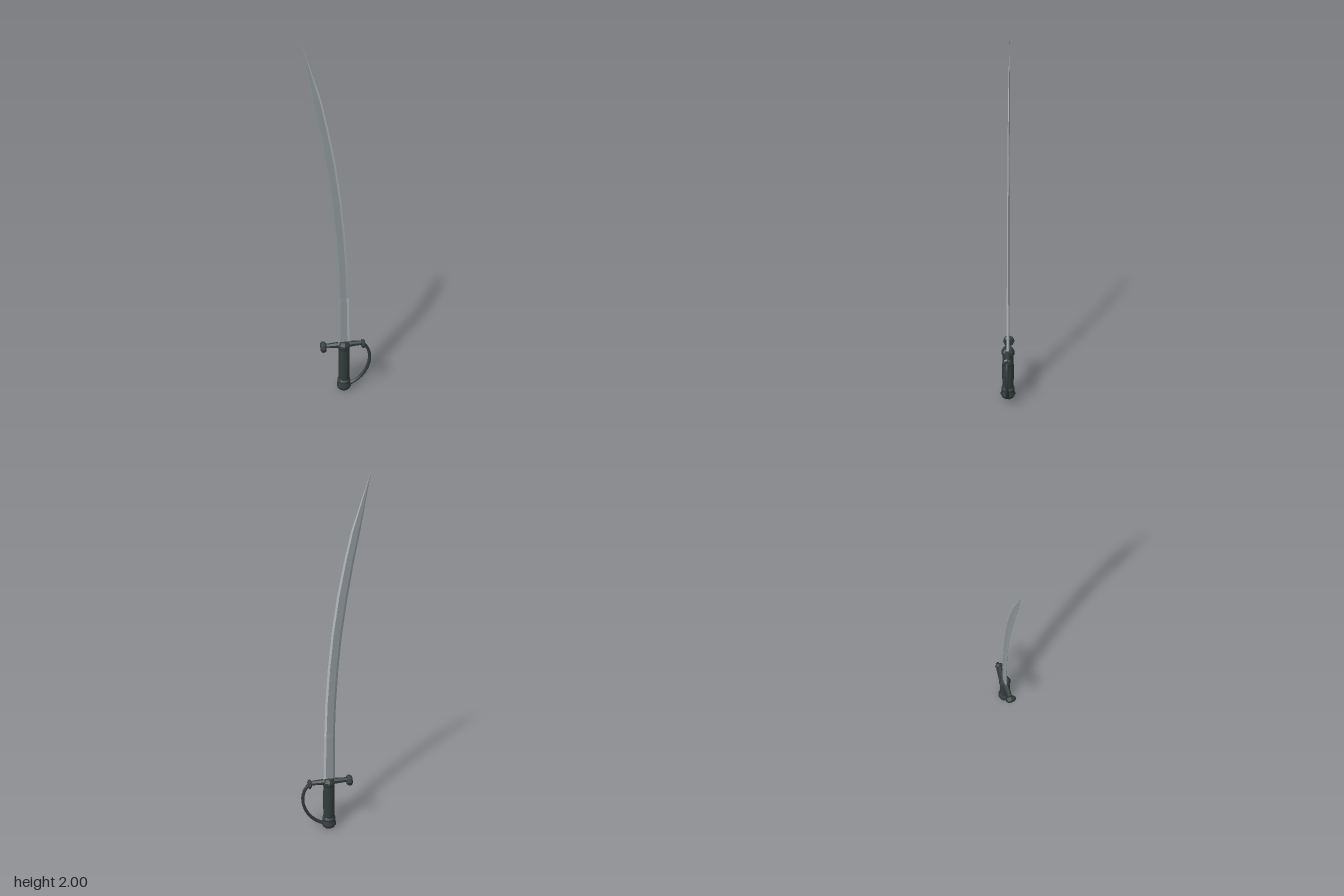
import * as THREE from 'three';

// Give every face its own normal, for faceted parts.
function facet(geometry) {
  const geo = geometry.index ? geometry.toNonIndexed() : geometry;
  geo.computeVertexNormals();
  return geo;
}

// Faceted skin over the chosen sides of closed rings; rings run counter-clockwise seen from above.
function loft(rings, sides) {
  const n = rings[0].length, pos = [];
  const tri = (a, b, c) => pos.push(...a, ...b, ...c);
  for (let i = 0; i < rings.length - 1; i++) {
    for (const j of sides) {
      const k = (j + 1) % n, lo = rings[i], hi = rings[i + 1];
      tri(lo[j], lo[k], hi[k]);
      tri(lo[j], hi[k], hi[j]);
    }
  }
  const geo = new THREE.BufferGeometry();
  geo.setAttribute('position', new THREE.Float32BufferAttribute(pos, 3));
  return facet(geo);
}

const turned = (points, sides) => new THREE.LatheGeometry(
  points.map(([r, y]) => new THREE.Vector2(r, y)), sides);

export function createModel() {
  const steel = new THREE.MeshStandardMaterial({ color: 0x8e9699 });
  steel.name = 'steel';
  const brightSteel = new THREE.MeshStandardMaterial({ color: 0xb4babc });
  brightSteel.name = 'bright steel';
  const darkMetal = new THREE.MeshStandardMaterial({ color: 0x333d3b });
  darkMetal.name = 'dark metal';

  const group = new THREE.Group();
  group.name = 'sabre';
  const add = (name, geo, mat, x = 0, y = 0) => {
    const mesh = new THREE.Mesh(geo, mat);
    mesh.name = name;
    mesh.position.set(x, y, 0);
    group.add(mesh);
    return mesh;
  };
  const axisX = 0.022;

  // Blade stations: height, back x, edge x, half thickness, half width of the edge
  const stations = [
    [0.32, -0.012, 0.053, 0.008, 0.005],
    [0.6, -0.012, 0.047, 0.0075, 0.005],
    [0.62, -0.012, 0.046, 0.0065, 0.0006],
    [0.8, -0.018, 0.040, 0.006, 0.0006],
    [1.0, -0.030, 0.026, 0.0055, 0.0006],
    [1.2, -0.049, 0.006, 0.005, 0.0006],
    [1.4, -0.077, -0.022, 0.005, 0.0006],
    [1.58, -0.107, -0.057, 0.0045, 0.0006],
    [1.73, -0.136, -0.091, 0.004, 0.0006],
    [2.0, -0.182, -0.180, 0.0006, 0.0003],
  ];
  const bladeRings = stations.map(([y, x0, x1, t, e]) => {
    const bevel = 0.2 * (x1 - x0), b = t * 0.15;
    return [
      [x1, y, e], [x1, y, -e], [x1 - bevel, y, -t], [x0 + bevel, y, -t],
      [x0, y, -b], [x0, y, b], [x0 + bevel, y, t], [x1 - bevel, y, t],
    ];
  });
  add('blade', loft(bladeRings, [2, 3, 4, 5, 6]), steel);
  add('cuttingEdge', loft(bladeRings, [7, 0, 1]), brightSteel);

  // Turned parts of the hilt
  add('pommel', turned([
    [0, 0], [0.02, 0.002], [0.034, 0.009], [0.042, 0.022], [0.042, 0.034], [0.036, 0.05],
    [0.036, 0.056], [0.038, 0.06], [0.038, 0.068], [0.032, 0.076],
  ], 10), darkMetal, axisX);
  add('grip', turned([
    [0.031, 0.074], [0.033, 0.13], [0.033, 0.2], [0.031, 0.288],
  ], 10), darkMetal, axisX);
  add('collar', facet(turned([
    [0.03, 0.282], [0.035, 0.29], [0.037, 0.3], [0.037, 0.314], [0.026, 0.334], [0, 0.334],
  ], 8)), darkMetal, axisX);

  // Crossguard arms, thinner toward the ends, each with a faceted knob
  for (const [side, end, knobR, knobW] of [[-1, -0.096, 0.032, 0.031], [1, 0.132, 0.026, 0.02]]) {
    const label = side > 0 ? 'left' : 'right';
    const length = Math.abs(end - axisX);
    const armGeo = new THREE.CylinderGeometry(0.012, 0.019, length, 8);
    armGeo.rotateY(Math.PI / 8);
    const arm = add(label + 'GuardArm', facet(armGeo), darkMetal, (axisX + end) / 2, 0.311);
    arm.rotation.z = -side * Math.PI / 2;

    const h = knobW / 2;
    const knob = add(label + 'GuardKnob', facet(turned([
      [0, -h], [knobR * 0.75, -h], [knobR, -h * 0.4],
      [knobR, h * 0.4], [knobR * 0.75, h], [0, h],
    ], 8)), darkMetal, end, 0.305);
    knob.rotation.z = Math.PI / 2;
  }

  // Knuckle bow from the guard down to the pommel
  const bow = new THREE.CatmullRomCurve3([
    [0.132, 0.305], [0.157, 0.275], [0.172, 0.215], [0.164, 0.155],
    [0.135, 0.095], [0.09, 0.05], [0.05, 0.03],
  ].map(([x, y]) => new THREE.Vector3(x, y, 0)));
  add('knuckleBow', new THREE.TubeGeometry(bow, 14, 0.0095, 6), darkMetal);

  return group;
}
